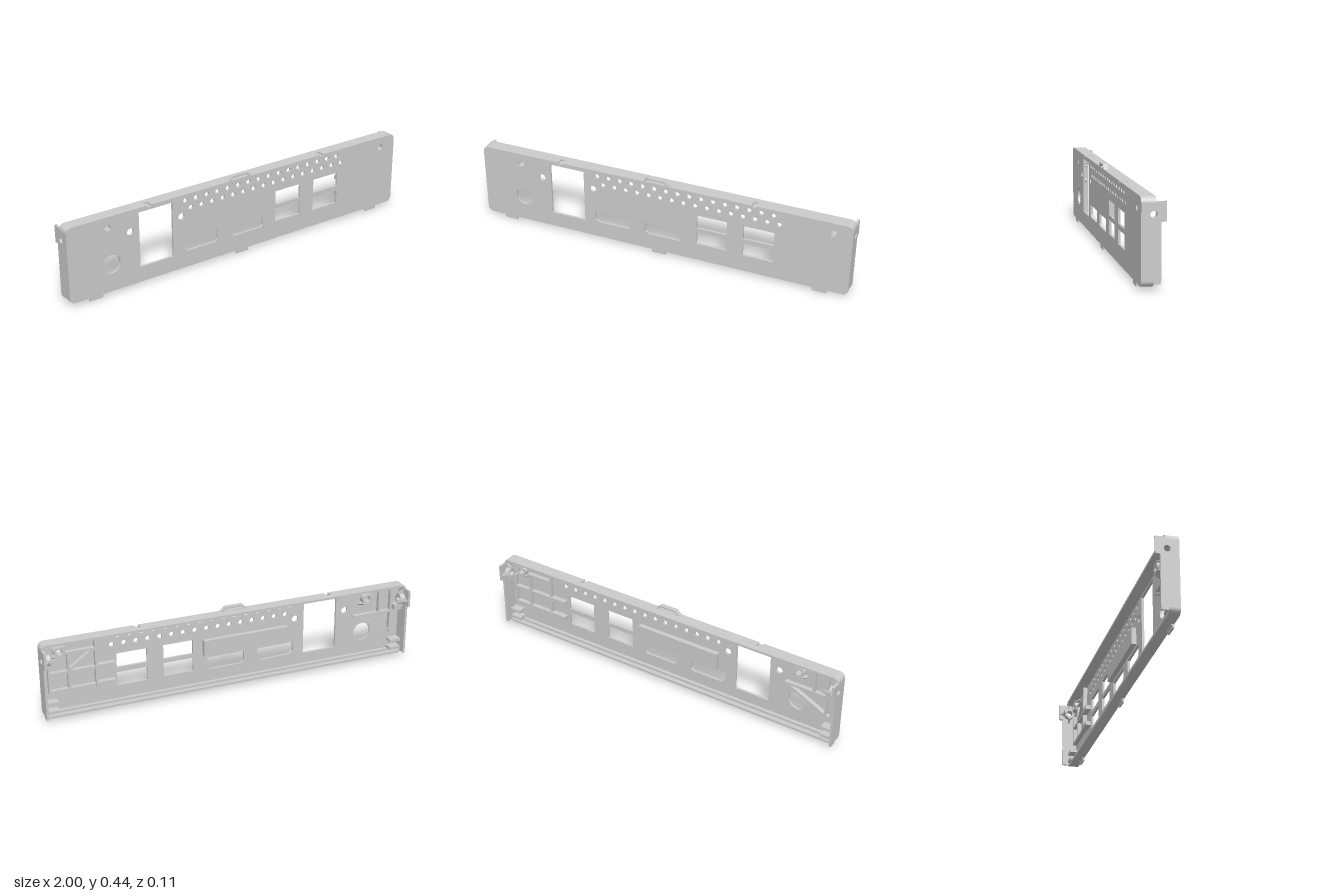
import * as THREE from 'three';

const mat = new THREE.MeshStandardMaterial({ color: 0xcccccc });
const FRONT = 0.057, INNER = 0.045, TOP = 0.418, BOTTOM = 0.018, R = 0.028, T = 0.012;

const poly = (pts) => new THREE.Shape(pts.map(([x, y]) => new THREE.Vector2(x, y)));
const rect = (x0, x1, y0, y1) => poly([[x0, y0], [x1, y0], [x1, y1], [x0, y1]]);
const circle = (x, y, r) => new THREE.Path().absarc(x, y, r, 0, Math.PI * 2, false);

// Quarter arc as points around (cx, cy), from angle a to b in quarter turns
function arc(cx, cy, r, a, b, n = 6) {
  return Array.from({ length: n + 1 }, (_, i) => {
    const t = (a + (b - a) * i / n) * Math.PI / 2;
    return [cx + r * Math.cos(t), cy + r * Math.sin(t)];
  });
}

// Top edge points, right to left, with the two catch notches
const notches = [0.5, -0.55].flatMap((x) => [
  [x + 0.012, TOP], [x + 0.012, TOP - 0.009], [x - 0.012, TOP - 0.009], [x - 0.012, TOP]]);

export function createModel() {
  const group = new THREE.Group();

  function add(name, geometry, parent = group) {
    const mesh = new THREE.Mesh(geometry, mat);
    mesh.name = name;
    parent.add(mesh);
    return mesh;
  }
  // Extrude a front-facing outline between two depths
  function slab(name, shape, z0, z1, parent) {
    const g = new THREE.ExtrudeGeometry(shape, { depth: z1 - z0, bevelEnabled: false, curveSegments: 12 });
    return add(name, g.translate(0, 0, z0), parent);
  }
  function box(name, x0, x1, y0, y1, z0, z1, parent) {
    const g = new THREE.BoxGeometry(x1 - x0, y1 - y0, z1 - z0);
    return add(name, g.translate((x0 + x1) / 2, (y0 + y1) / 2, (z0 + z1) / 2), parent);
  }
  // Straight rib on the back of the plate
  function rib(xa, ya, xb, yb, w = 0.012, z0 = 0.022) {
    const m = add('stiffeningRib', new THREE.BoxGeometry(Math.hypot(xb - xa, yb - ya) + w, w, INNER - z0));
    m.position.set((xa + xb) / 2, (ya + yb) / 2, (INNER + z0) / 2);
    m.rotation.z = Math.atan2(yb - ya, xb - xa);
  }

  // Face plate with all port cutouts
  const plate = poly([
    ...arc(-1 + R, BOTTOM + R, R, 2, 3), ...arc(1 - R, BOTTOM + R, R, 3, 4),
    ...arc(1 - R, TOP - R, R, 0, 1), ...notches, ...arc(-1 + R, TOP - R, R, 1, 2)]);
  plate.holes.push(circle(-0.77, 0.163, 0.05), rect(-0.61, -0.42, 0.1, 0.395),
    circle(-0.78, 0.36, 0.017), circle(0.905, 0.36, 0.017),
    circle(-0.66, 0.305, 0.018), circle(-0.37, 0.305, 0.018));
  for (let i = 0; i < 16; i++) {
    plate.holes.push(circle(-0.345 + i * 0.063, 0.385, 0.0125), circle(-0.313 + i * 0.063, 0.34, 0.0125));
  }
  for (const x of [-0.36, -0.08]) {
    plate.holes.push(poly([[x + 0.022, 0.107], [x + 0.19, 0.107], [x + 0.203, 0.118],
      [x + 0.203, 0.174], [x, 0.174], [x, 0.12]]));
  }
  for (const [x, y] of [[0.203, 0.115], [0.45, 0.111]]) {
    plate.holes.push(rect(x, x + 0.16, 0.21, 0.287), rect(x, x + 0.16, y, y + 0.073));
  }
  slab('facePlate', plate, INNER, FRONT);

  // Top wall with rounded ends, notched near the front
  const topOuter = (mid) => poly([
    [1, TOP - R - 0.005], ...arc(1 - R, TOP - R, R, 0, 1), ...mid, ...arc(-1 + R, TOP - R, R, 1, 2),
    [-1, TOP - R - 0.005], [-1 + T, TOP - R - 0.005],
    ...arc(-1 + R, TOP - R, R - T, 2, 1), ...arc(1 - R, TOP - R, R - T, 1, 0), [1 - T, TOP - R - 0.005]]);
  slab('topWallFront', topOuter(notches), 0.02, INNER);
  slab('topWallRear', topOuter([]), -0.01, 0.02);

  // Bottom wall and its inner step
  slab('bottomWall', poly([
    ...arc(-1 + R, BOTTOM + R, R, 2, 3), ...arc(1 - R, BOTTOM + R, R, 3, 4),
    ...arc(1 - R, BOTTOM + R, R - T, 4, 3), ...arc(-1 + R, BOTTOM + R, R - T, 3, 2)]), 0.002, INNER);
  box('bottomStep', -0.93, 0.96, 0.029, 0.042, 0.026, INNER);

  // Side walls with rear ears and screw holes; outline drawn as (-z, y)
  for (const s of [-1, 1]) {
    const side = poly([[-INNER, 0.046], [-0.002, 0.046], [-0.002, 0.03], [0.033, 0.03], [0.033, 0.307],
      [0.056, 0.307], [0.056, 0.397], [0.01, 0.397], [0.01, 0.386], [-INNER, 0.386]]);
    side.holes.push(circle(0, 0.339, 0.016));
    const g = new THREE.ExtrudeGeometry(side, { depth: T, bevelEnabled: false });
    const wall = add('sideWall', g.rotateY(Math.PI / 2));
    wall.position.x = s > 0 ? 1 - T : -1;
  }

  // Screw boss: ring with four tapered fins, growing along local +z
  function boss(name, height) {
    const b = new THREE.Group();
    b.name = name;
    const ring = new THREE.Shape().absarc(0, 0, 0.029, 0, Math.PI * 2, false);
    ring.holes.push(circle(0, 0, 0.016));
    slab('bossRing', ring, 0, height, b);
    for (let i = 0; i < 4; i++) {
      const fin = poly([[0.026, 0], [0.052, 0], [0.034, height], [0.026, height]]);
      const g = new THREE.ExtrudeGeometry(fin, { depth: 0.008, bevelEnabled: false });
      g.translate(0, 0, -0.004).rotateX(Math.PI / 2);
      add('bossFin', g.rotateZ(i * Math.PI / 2), b);
    }
    group.add(b);
    return b;
  }
  for (const x of [-0.78, 0.905]) {
    const b = boss('plateBoss', 0.035);
    b.position.set(x, 0.36, INNER);
    b.rotation.set(0, Math.PI, Math.PI / 4);
  }
  for (const s of [-1, 1]) {
    const b = boss('sideBoss', 0.028);
    b.position.set(s * (1 - T), 0.339, 0);
    b.rotation.y = -s * Math.PI / 2;
    // Locating tongue on each ear
    const xs = [s * 0.99, s * 0.932].sort((p, q) => p - q);
    box('earTongue', xs[0], xs[1], 0.33, 0.348, -0.036, -0.029);
  }

  // Latch loop on the top edge
  const latch = poly([[-0.092, TOP - 0.006], [0.052, TOP - 0.006], [0.046, 0.422], [0.027, 0.441],
    [-0.066, 0.441], [-0.086, 0.422]]);
  latch.holes.push(poly([[-0.074, 0.42], [0.034, 0.42], [0.023, 0.431], [-0.062, 0.431]]));
  slab('latchLoop', latch, 0.034, FRONT);

  // Hooked feet below the bottom edge; outline drawn as (-z, y)
  for (const x of [-0.86, -0.005, 0.855]) {
    const foot = poly([[-FRONT, 0], [-0.049, 0], [-0.049, 0.009], [-0.04, 0.019], [-FRONT, 0.019]]);
    const g = new THREE.ExtrudeGeometry(foot, { depth: 0.074, bevelEnabled: false });
    add('foot', g.rotateY(Math.PI / 2).translate(x - 0.037, 0, 0));
  }

  // Raised bar behind the wide ports
  box('portBar', -0.32, 0.15, 0.19, 0.28, 0.02, INNER);

  // Lattice of ribs at the left end
  for (const y of [0.245, 0.15]) {
    rib(0.96, y, 0.72, y);
    box('ribEnd', 0.625, 0.725, y - 0.012, y + 0.012, 0.016, INNER);
  }
  rib(0.87, 0.345, 0.72, 0.345);
  rib(0.96, 0.15, 0.96, 0.31);
  rib(0.86, 0.15, 0.86, 0.345);
  rib(0.72, 0.15, 0.72, 0.395);
  rib(0.86, 0.25, 0.735, 0.34);

  // Braces and guide at the right end
  rib(-0.71, 0.265, -0.94, 0.265);
  rib(-0.71, 0.265, -0.94, 0.15);
  rib(-0.86, 0.265, -0.86, 0.4);
  rib(-0.93, 0.15, -0.93, 0.4);
  box('guideBlock', -0.988, -0.945, 0.27, 0.3, 0.01, INNER);

  // Corner clips by the bottom wall
  for (const s of [-1, 1]) {
    for (const y of [0.05, 0.095]) {
      const xs = [s * 0.99, s * 0.925].sort((p, q) => p - q);
      box('cornerClip', xs[0], xs[1], y - 0.008, y + 0.008, 0.0, INNER);
    }
  }
  return group;
}
